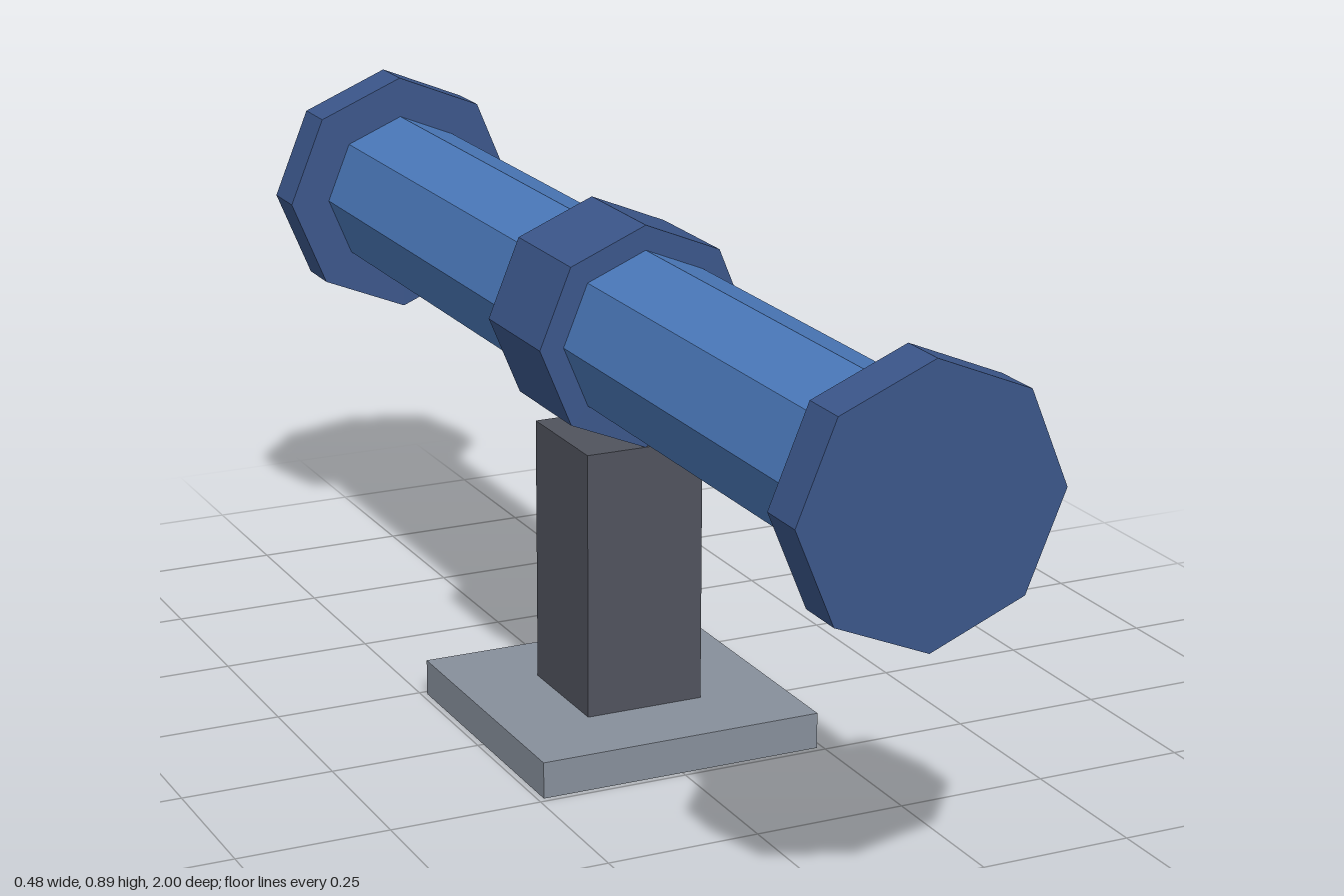
import * as THREE from 'three';

const mat = (name, color) => {
  const m = new THREE.MeshStandardMaterial({ color, flatShading: true });
  m.name = name;
  return m;
};

export function createModel() {
  const group = new THREE.Group();
  const pipeBlue = mat('pipe blue', 0x4a78b9);
  const flangeBlue = mat('flange blue', 0x3b568a);
  const postGrey = mat('post dark grey', 0x50535d);
  const baseGrey = mat('base grey', 0x878f9b);

  const add = (name, geometry, material, y, z = 0) => {
    const mesh = new THREE.Mesh(geometry, material);
    mesh.name = name;
    mesh.position.set(0, y, z);
    group.add(mesh);
  };
  // Eight-sided drum lying along z, with a corner pointing up
  const drum = (radius, length) =>
    new THREE.CylinderGeometry(radius, radius, length, 8).rotateX(Math.PI / 2);

  // Stand
  add('basePlate', new THREE.BoxGeometry(0.48, 0.06, 0.48), baseGrey, 0.03);
  add('post', new THREE.BoxGeometry(0.2, 0.44, 0.2), postGrey, 0.28);

  // Pipe with its middle collar and end flanges
  const axisY = 0.68;
  add('pipe', drum(0.14, 1.9), pipeBlue, axisY);
  add('collar', drum(0.18, 0.2), flangeBlue, axisY);
  add('frontFlange', drum(0.21, 0.08), flangeBlue, axisY, 0.96);
  add('backFlange', drum(0.21, 0.08), flangeBlue, axisY, -0.96);

  return group;
}
